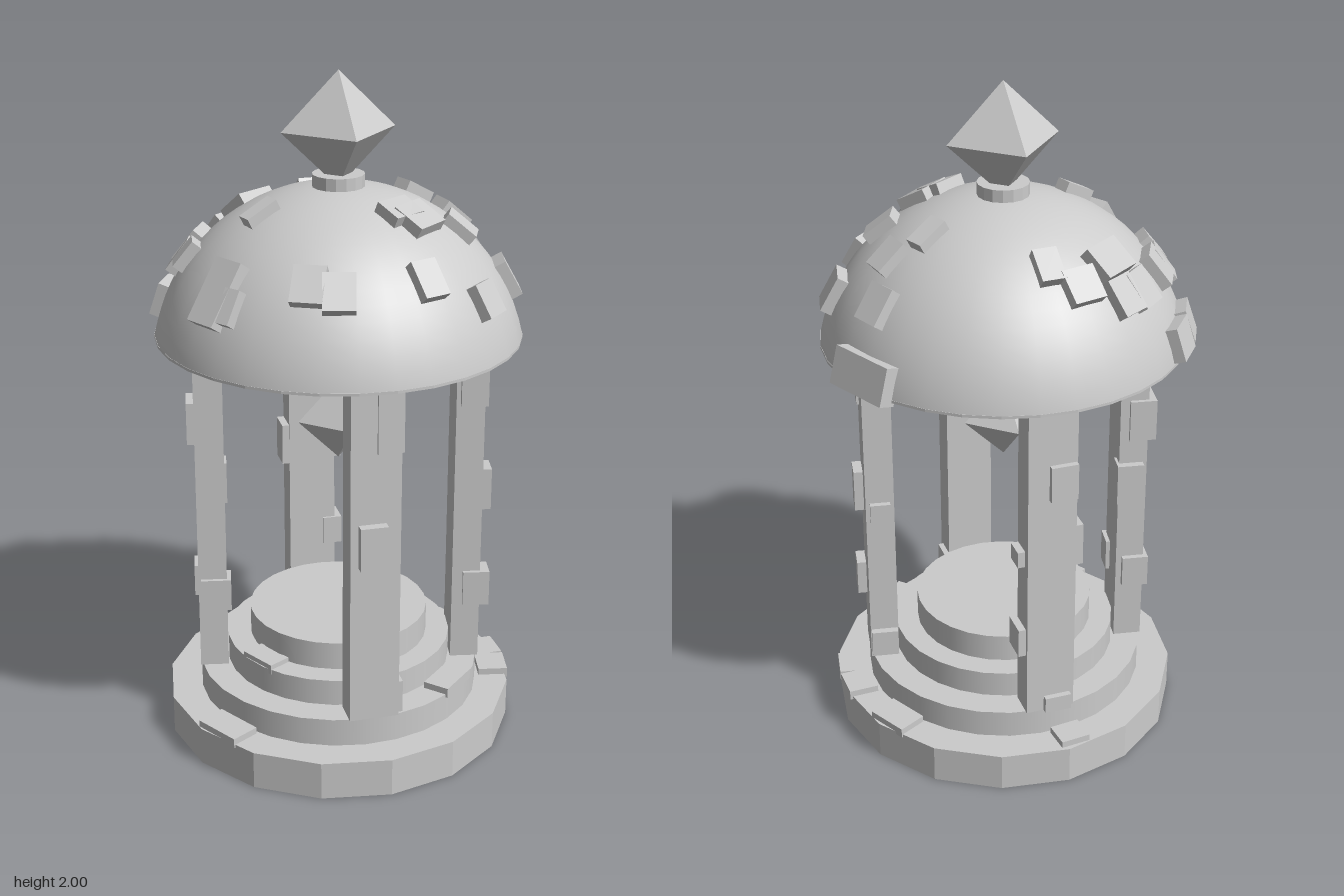
import * as THREE from 'three';

const CX = 0.01, CZ = 0.015;          // shared vertical axis
const SPHERE_R = 0.542, SPHERE_Y = 1.138; // sphere the dome is cut from
const rad = THREE.MathUtils.degToRad;

export function createModel() {
  const model = new THREE.Group();
  const flat = new THREE.MeshStandardMaterial({ color: 0xcccccc, flatShading: true });
  const smooth = new THREE.MeshStandardMaterial({ color: 0xcccccc });

  const add = (parent, name, geo, mat, x = 0, y = 0, z = 0) => {
    const m = new THREE.Mesh(geo, mat);
    m.name = name;
    m.position.set(x, y, z);
    parent.add(m);
    return m;
  };
  const group = (name, x = CX, y = 0, z = CZ) => {
    const g = new THREE.Group();
    g.name = name;
    g.position.set(x, y, z);
    model.add(g);
    return g;
  };

  // Stepped round base: radius, bottom, top, sides
  const base = group('base');
  [['plinth', 0.525, 0, 0.115, 16], ['lowerStep', 0.425, 0.115, 0.2, 28],
    ['middleStep', 0.34, 0.2, 0.28, 28], ['topStep', 0.27, 0.28, 0.365, 28]]
    .forEach(([name, r, y0, y1, n]) => {
      const geo = new THREE.CylinderGeometry(r, r, y1 - y0, n).rotateY(Math.PI / 2);
      add(base, name, geo, n > 16 ? smooth : flat, 0, (y0 + y1) / 2, 0);
    });

  // Loose paving stones on the steps: azimuth, radius, y, width, depth
  [[-16, 0.47, 0.12, 0.15, 0.09], [86, 0.385, 0.205, 0.14, 0.08], [122, 0.48, 0.12, 0.1, 0.09],
    [134, 0.48, 0.12, 0.1, 0.09], [160, 0.47, 0.12, 0.13, 0.09], [228, 0.47, 0.12, 0.09, 0.08],
    [-18, 0.3, 0.28, 0.12, 0.07]]
    .forEach(([az, r, y, w, d]) => {
      const a = rad(az);
      const s = add(base, 'pavingStone', new THREE.BoxGeometry(w, 0.03, d), flat,
        r * Math.sin(a), y, r * Math.cos(a));
      s.rotation.y = a;
    });

  // Columns turned to face outwards, each with projecting blocks
  // block: sideways offset, outward offset, bottom, top, width, depth
  const columns = [
    [42, [[-0.01, 0.03, 0.69, 0.82, 0.08, 0.08], [0.06, -0.01, 0.2, 0.3, 0.06, 0.07],
      [0.04, 0.01, 1.03, 1.24, 0.075, 0.08]]],
    [122, [[-0.03, 0.035, 0.69, 0.82, 0.07, 0.07], [-0.05, 0.03, 0.38, 0.49, 0.07, 0.08],
      [0.06, 0.0, 0.22, 0.3, 0.07, 0.08], [-0.06, 0.01, 1.03, 1.14, 0.06, 0.08],
      [0.06, 0.0, 0.69, 0.75, 0.06, 0.06]]],
    [222, [[0.03, 0.02, 0.92, 1.03, 0.08, 0.08], [-0.065, -0.01, 0.4, 0.49, 0.06, 0.08],
      [0.065, 0.0, 0.69, 0.82, 0.06, 0.08], [-0.06, -0.01, 0.7, 0.75, 0.07, 0.06],
      [0.02, 0.03, 0.2, 0.25, 0.08, 0.06]]],
    [302, [[-0.04, 0.025, 0.9, 1.03, 0.09, 0.08], [0.05, -0.01, 0.39, 0.49, 0.07, 0.09],
      [-0.065, -0.01, 0.69, 0.82, 0.06, 0.08], [-0.055, 0.015, 0.39, 0.49, 0.07, 0.08]]],
  ];
  columns.forEach(([az, blocks]) => {
    const a = rad(az);
    const g = group('column', CX + 0.383 * Math.sin(a), 0, CZ + 0.383 * Math.cos(a));
    g.rotation.y = a;
    add(g, 'shaft', new THREE.BoxGeometry(0.146, 1.05, 0.085), flat, 0, 0.725, 0);
    blocks.forEach(([t, o, y0, y1, w, d]) =>
      add(g, 'block', new THREE.BoxGeometry(w, y1 - y0, d), flat, t, (y0 + y1) / 2, o));
  });

  // Dome: spherical cap closed by a flat underside
  const dome = group('dome');
  const cap = Math.acos((1.25 - SPHERE_Y) / SPHERE_R);
  add(dome, 'shell', new THREE.SphereGeometry(SPHERE_R, 32, 16, 0, Math.PI * 2, 0, cap), smooth, 0, SPHERE_Y, 0);
  add(dome, 'underside', new THREE.CylinderGeometry(0.531, 0.531, 0.008, 32), flat, 0, 1.247, 0);

  // Raised stones lying on the dome: plan x, plan z, width, length
  [[0.215, -0.475, 0.21, 0.11], [0.21, -0.385, 0.09, 0.11], [0.23, -0.27, 0.08, 0.1],
    [0.13, -0.225, 0.06, 0.1], [-0.22, -0.22, 0.07, 0.1], [-0.31, -0.2, 0.1, 0.1],
    [-0.4, -0.115, 0.09, 0.11], [-0.42, -0.04, 0.09, 0.11], [-0.335, -0.065, 0.13, 0.1],
    [-0.515, 0.05, 0.11, 0.1], [-0.495, 0.155, 0.1, 0.1], [-0.41, 0.13, 0.1, 0.11],
    [-0.4, 0.195, 0.07, 0.11], [-0.35, 0.25, 0.07, 0.09], [-0.12, 0.23, 0.05, 0.1],
    [-0.13, 0.445, 0.1, 0.19], [-0.075, 0.475, 0.05, 0.1], [0.13, 0.41, 0.09, 0.11],
    [0.21, 0.39, 0.09, 0.11], [0.38, 0.205, 0.08, 0.11], [0.485, 0.05, 0.09, 0.1],
    [0.275, 0.05, 0.12, 0.1], [0.23, 0.075, 0.11, 0.08], [0.335, -0.1, 0.08, 0.1],
    [0.43, -0.225, 0.1, 0.11]]
    .forEach(([px, pz, w, l]) => {
      const x = px - CX, z = pz - CZ;
      const tilt = Math.asin(Math.min(0.965, Math.hypot(x, z) / 0.553));
      const stone = add(dome, 'domeStone', new THREE.BoxGeometry(w, 0.05, l), flat);
      stone.rotation.set(tilt, Math.atan2(x, z), 0, 'YXZ');
      stone.position.set(0, 0.545, 0).applyEuler(stone.rotation);
      stone.position.y += SPHERE_Y;
    });

  // Finial collar and the two four-sided crystals
  add(dome, 'finialCollar', new THREE.CylinderGeometry(0.075, 0.075, 0.045, 16), flat, 0, 1.688, 0);
  const crystal = (name, y, half, height) => {
    const geo = new THREE.LatheGeometry([new THREE.Vector2(0, -height),
      new THREE.Vector2(half * Math.SQRT2, 0), new THREE.Vector2(0, height)], 4).rotateY(Math.PI / 4);
    add(model, name, geo, flat, CX, y, CZ);
  };
  crystal('finialCrystal', 1.835, 0.118, 0.165);
  crystal('hangingCrystal', 0.972, 0.087, 0.124);

  return model;
}
